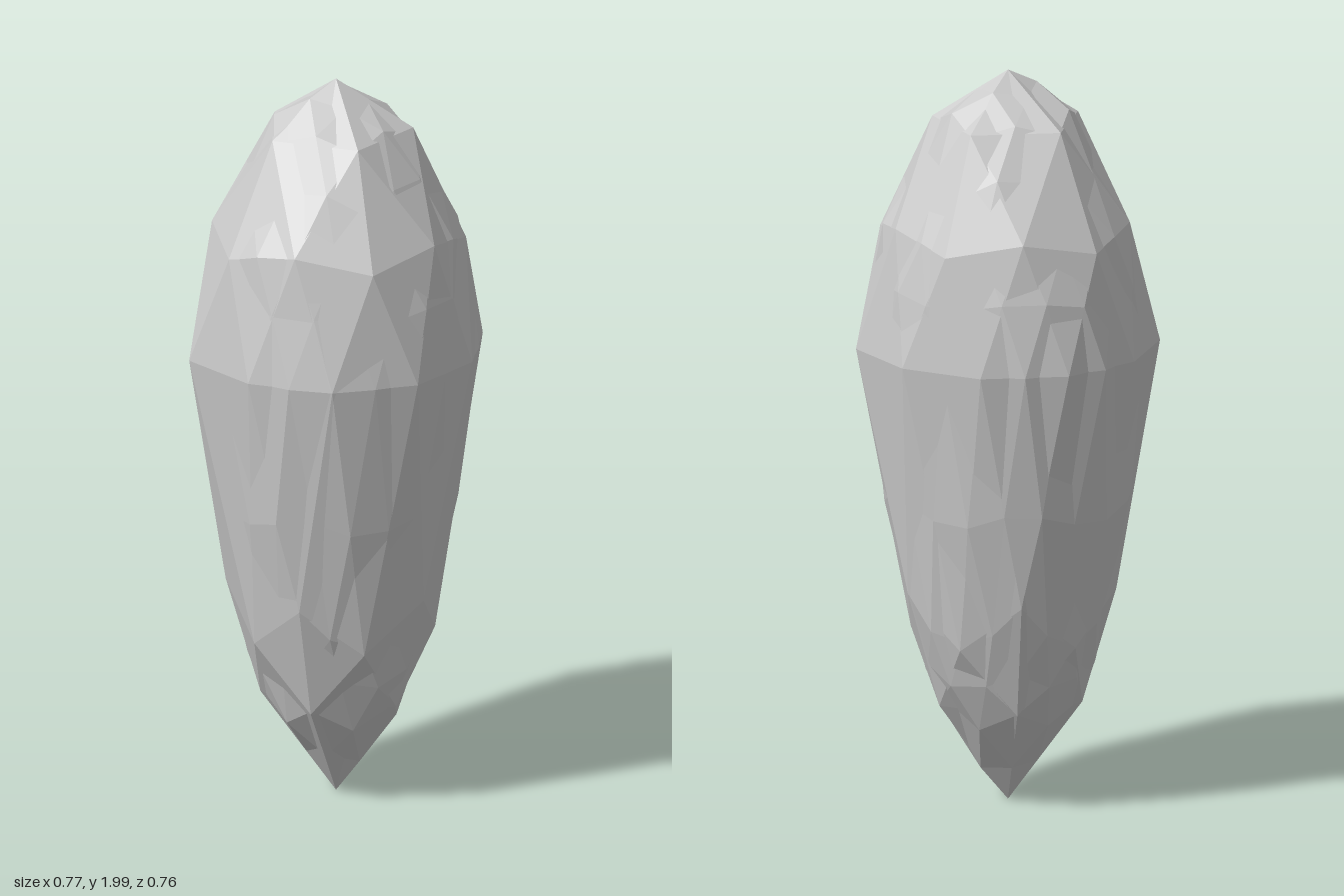
import * as THREE from 'three';

// Profile from tip to crown: [sine of latitude, height, radius]
const PROFILE = [
  [-1, 0.01, 0], [-0.96, 0.125, 0.1], [-0.851, 0.285, 0.2], [-0.526, 0.47, 0.262],
  [-0.447, 0.6, 0.292], [-0.23, 0.88, 0.342], [0, 1.25, 0.382], [0.24, 1.42, 0.365],
  [0.447, 1.56, 0.344], [0.526, 1.6, 0.328], [0.851, 1.865, 0.204], [0.96, 1.95, 0.105], [1, 2, 0],
];
const MID = 1.25;

function profileAt(s) {
  let i = 1;
  while (i < PROFILE.length - 1 && PROFILE[i][0] < s) i++;
  const [s0, y0, r0] = PROFILE[i - 1];
  const [s1, y1, r1] = PROFILE[i];
  const t = THREE.MathUtils.clamp((s - s0) / (s1 - s0), 0, 1);
  return [y0 + (y1 - y0) * t, r0 + (r1 - r0) * t];
}

// Repeatable 0..1 value per direction, so shared corners stay joined
function hash(v) {
  const [a, b, c] = [v.x, v.y, v.z].map((n) => Math.round((n + 3.0037) * 50));
  const h = Math.sin(a * 12.9898 + b * 78.233 + c * 37.719) * 43758.5453;
  return h - Math.floor(h);
}

// Faceted ball with a corner at each pole, drawn out along the profile
function shell(name, detail, scaleAt) {
  const geo = new THREE.IcosahedronGeometry(1, detail);
  geo.rotateZ(Math.atan(2 / (1 + Math.sqrt(5))));
  geo.rotateY(Math.PI);
  const pos = geo.attributes.position;
  const v = new THREE.Vector3();
  for (let i = 0; i < pos.count; i++) {
    v.fromBufferAttribute(pos, i).normalize();
    const [y, r] = profileAt(v.y);
    const flat = Math.hypot(v.x, v.z) || 1;
    const k = scaleAt(v);
    pos.setXYZ(i, (v.x / flat) * r * k, MID + (y - MID) * (1 + (k - 1) * 0.5), (v.z / flat) * r * k);
  }
  geo.deleteAttribute('uv');
  geo.computeVertexNormals();
  const mat = new THREE.MeshStandardMaterial({ color: 0xcccccc, flatShading: true });
  const mesh = new THREE.Mesh(geo, mat);
  mesh.name = name;
  return mesh;
}

export function createModel() {
  const group = new THREE.Group();
  group.name = 'crystalRock';

  // Large facets, with two corners of the waist pushed out
  group.add(shell('largeFacets', 1, (v) => {
    const corner = Math.abs(v.y) < 0.05 && Math.abs(v.x) > 0.9 && v.x * v.z < 0;
    return corner && !(v.x < 0 && v.z < 0) ? 1.06 : 1;
  }));

  // Small uneven facets that break through the large ones
  group.add(shell('smallFacets', 3, (v) => (Math.abs(v.y) > 0.99 ? 1 : 0.94 + 0.06 * hash(v))));
  return group;
}
